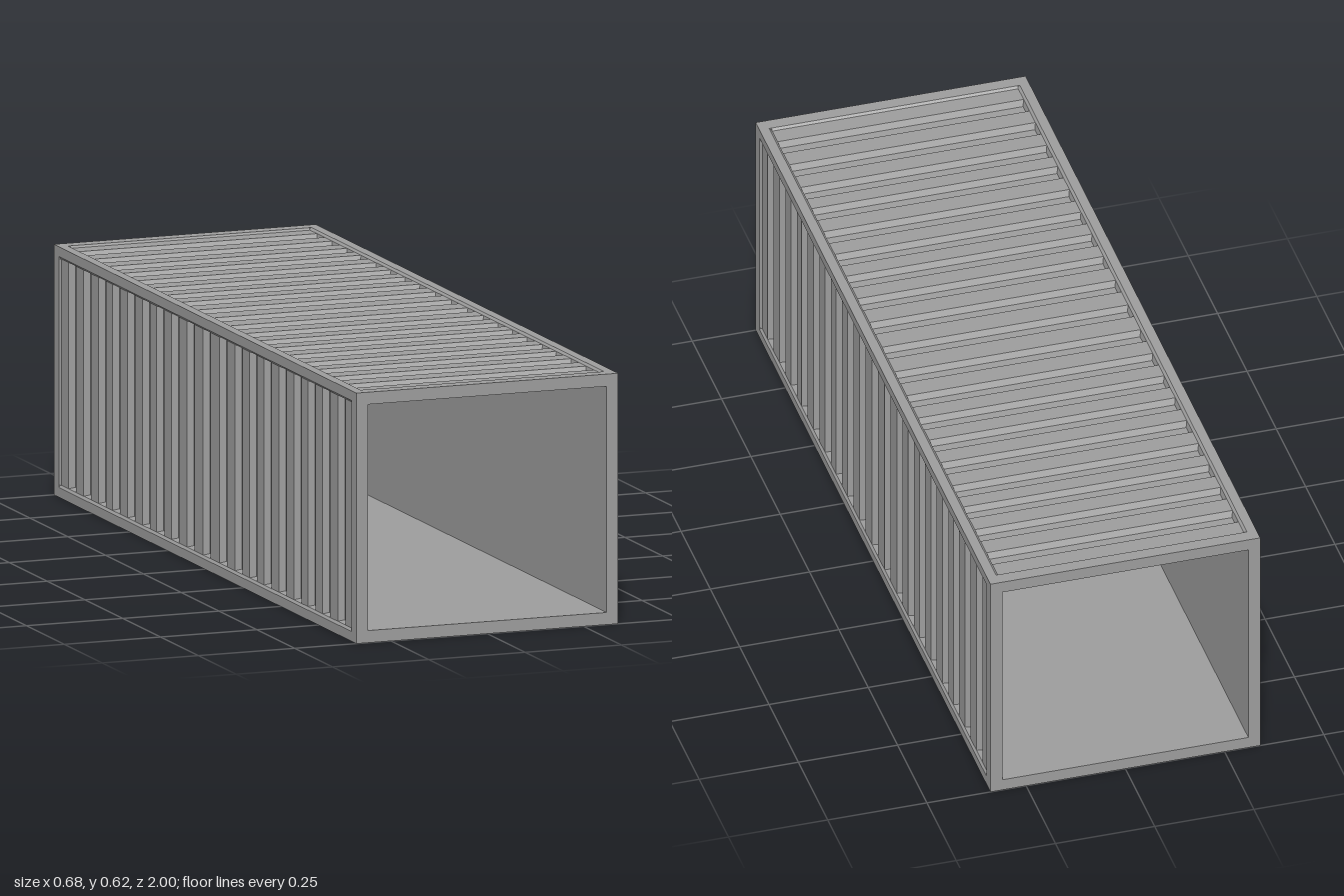
import * as THREE from 'three';

const W = 0.68, H = 0.617, L = 2;      // outer size
const BEAM = 0.03, END = 0.033;        // frame thickness, depth of the end frames
const RECESS = 0.005, FLOOR = 0.01;    // panel set-back, metal left under a groove
const GROOVES = [0, 0.107, 0.21, 0.307, 0.402, 0.5, 0.6, 0.692, 0.79, 0.89];

const material = new THREE.MeshStandardMaterial({ color: 0x9c9c9c, flatShading: true });

const extrude = (shape, depth) =>
  new THREE.ExtrudeGeometry(shape, { depth, bevelEnabled: false }).translate(0, 0, -depth / 2);

// Corrugated wall: a profile along z, extruded across the wall
function panelGeometry(span, inner) {
  const half = L / 2 - END, face = inner + BEAM - RECESS, low = inner + FLOOR;
  const centres = [...GROOVES.slice(1).reverse(), ...GROOVES.map(z => -z)];
  const s = new THREE.Shape();
  s.moveTo(half, inner);
  s.lineTo(half, inner + BEAM);
  s.lineTo(half - 0.006, face);
  for (const c of centres) {
    s.lineTo(c + 0.025, face);
    s.lineTo(c + 0.017, low);
    s.lineTo(c - 0.017, low);
    s.lineTo(c - 0.025, face);
  }
  s.lineTo(0.006 - half, face);
  s.lineTo(-half, inner + BEAM);
  s.lineTo(-half, inner);
  s.closePath();
  return extrude(s, span).rotateY(-Math.PI / 2);
}

// Long beam with sloped lips; its outer corner is at the origin of the profile
function beamGeometry() {
  const lip = [[0.024, 0], [BEAM, RECESS], [0.034, 0.02]];
  const points = [[0, 0], ...lip, [BEAM, BEAM], ...lip.map(([a, b]) => [b, a]).reverse()];
  const s = new THREE.Shape(points.map(([a, b]) => new THREE.Vector2(a, b)));
  return extrude(s, L - 2 * END);
}

// Rectangular ring for each open end
function endFrameGeometry() {
  const rect = (w, h) =>
    [[-w, -h], [w, -h], [w, h], [-w, h]].map(([a, b]) => new THREE.Vector2(a, b));
  const s = new THREE.Shape(rect(W / 2, H / 2));
  s.holes.push(new THREE.Path(rect(W / 2 - BEAM, H / 2 - BEAM)));
  return extrude(s, END);
}

export function createModel() {
  const model = new THREE.Group();
  model.name = 'openContainer';
  const add = (name, geometry, x = 0, y = 0, z = 0, turn = 0) => {
    const m = new THREE.Mesh(geometry, material);
    m.name = name;
    m.position.set(x, y + H / 2, z);
    m.rotation.z = turn;
    model.add(m);
  };

  // Corrugated roof, floor and side walls
  const flat = panelGeometry(W - 2 * BEAM, H / 2 - BEAM);
  const side = panelGeometry(H - 2 * BEAM, W / 2 - BEAM);
  add('roofPanel', flat);
  add('floorPanel', flat, 0, 0, 0, Math.PI);
  add('leftPanel', side, 0, 0, 0, -Math.PI / 2);
  add('rightPanel', side, 0, 0, 0, Math.PI / 2);

  // Long edge beams, one quarter turn per corner
  const beam = beamGeometry();
  const corners = [['bottomRight', -1, -1], ['bottomLeft', 1, -1], ['topLeft', 1, 1], ['topRight', -1, 1]];
  corners.forEach(([name, sx, sy], i) =>
    add(name + 'Beam', beam, sx * W / 2, sy * H / 2, 0, i * Math.PI / 2));

  // Open end frames
  const frame = endFrameGeometry();
  add('frontFrame', frame, 0, 0, (L - END) / 2);
  add('backFrame', frame, 0, 0, -(L - END) / 2);
  return model;
}
